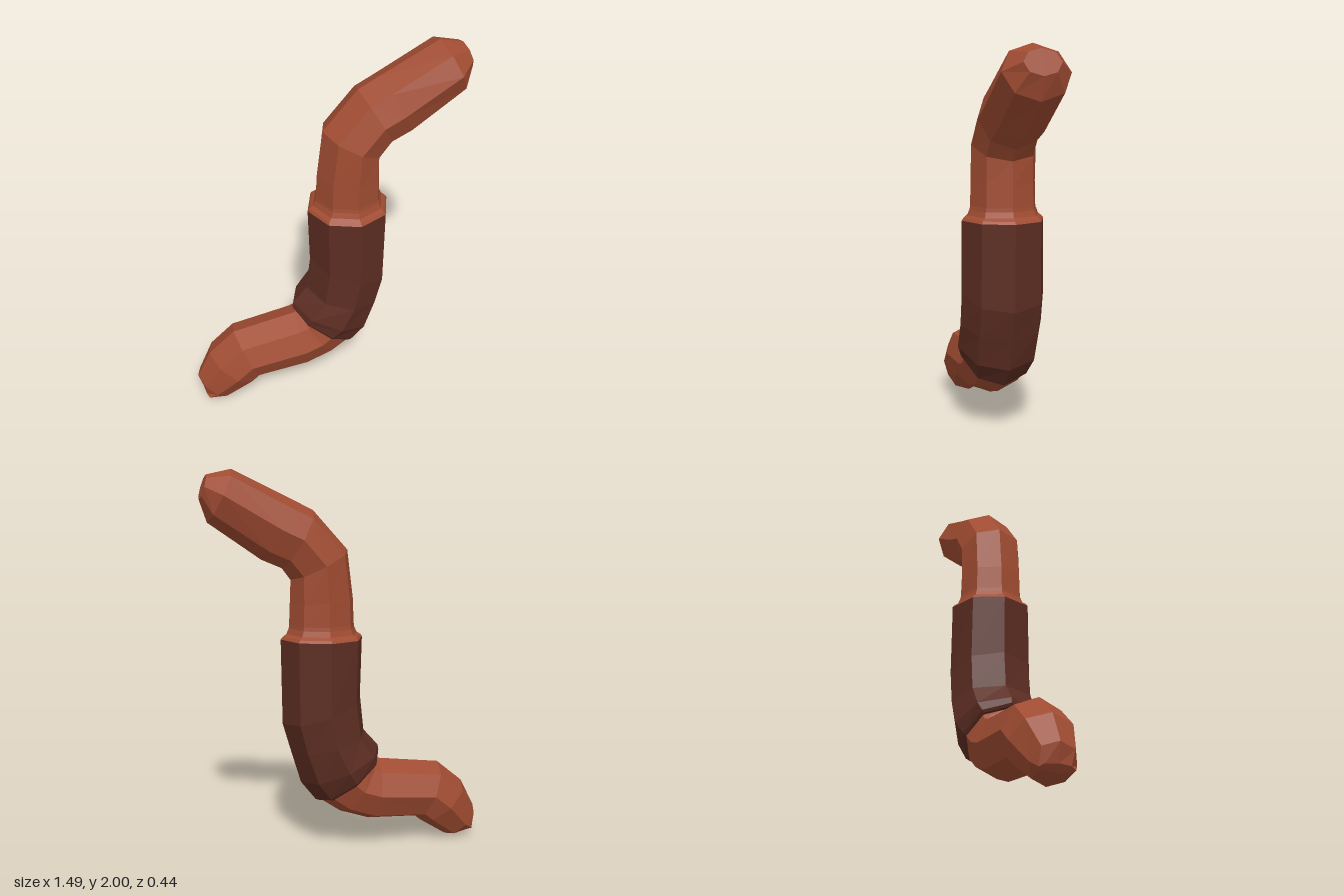
import * as THREE from 'three';

const SIDES = 8;

// Lofts octagonal rings. Each ring: [upper x, upper y, lower x, lower y, half depth]
function loft(name, rings, color) {
  const positions = [];
  const index = [];
  for (const [ax, ay, bx, by, depth] of rings) {
    const cx = (ax + bx) / 2, cy = (ay + by) / 2;
    for (let j = 0; j < SIDES; j++) {
      const t = (j / SIDES) * Math.PI * 2;
      positions.push(cx + (ax - cx) * Math.cos(t), cy + (ay - cy) * Math.cos(t), depth * Math.sin(t));
    }
  }
  for (let i = 0; i < rings.length - 1; i++) {
    for (let j = 0; j < SIDES; j++) {
      const k = (j + 1) % SIDES;
      const a = i * SIDES + j, b = i * SIDES + k;
      index.push(a, b, b + SIDES, a, b + SIDES, a + SIDES);
    }
  }
  // End caps
  const last = (rings.length - 1) * SIDES;
  for (let j = 1; j < SIDES - 1; j++) {
    index.push(0, j + 1, j);
    index.push(last, last + j, last + j + 1);
  }
  const geometry = new THREE.BufferGeometry();
  geometry.setAttribute('position', new THREE.Float32BufferAttribute(positions, 3));
  geometry.setIndex(index);
  geometry.computeVertexNormals();
  const mesh = new THREE.Mesh(geometry, new THREE.MeshStandardMaterial({ color, flatShading: true }));
  mesh.name = name;
  return mesh;
}

export function createModel() {
  const group = new THREE.Group();
  group.name = 'worm';

  // Body, from the tail tip up to the head
  group.add(loft('body', [
    [-0.72, 0.07, -0.69, 0.035, 0.085],
    [-0.745, 0.16, -0.58, 0.005, 0.11],
    [-0.67, 0.31, -0.43, 0.1, 0.16],
    [-0.525, 0.43, -0.4, 0.125, 0.162],
    [-0.18, 0.475, -0.13, 0.14, 0.168],
    [-0.155, 0.485, 0.03, 0.195, 0.17],
    [-0.145, 0.51, 0.13, 0.265, 0.175],
    [-0.06, 0.66, 0.26, 0.55, 0.175],
    [-0.04, 0.83, 0.3, 0.72, 0.175],
    [-0.05, 1.18, 0.305, 1.18, 0.18],
    [-0.045, 1.22, 0.3, 1.22, 0.173],
    [-0.04, 1.35, 0.295, 1.33, 0.17],
    [-0.01, 1.6, 0.29, 1.45, 0.17],
    [0.17, 1.8, 0.335, 1.51, 0.168],
    [0.27, 1.85, 0.44, 1.555, 0.167],
    [0.58, 2.0, 0.705, 1.74, 0.165],
    [0.705, 1.972, 0.742, 1.85, 0.09],
  ], 0xa04c32));

  // Thick dark saddle around the middle, its ends tucked in to the body
  group.add(loft('saddle', [
    [-0.14, 0.5, 0.12, 0.28, 0.165],
    [-0.178, 0.505, 0.145, 0.265, 0.178],
    [-0.185, 0.52, 0.165, 0.272, 0.19],
    [-0.18, 0.55, 0.245, 0.375, 0.218],
    [-0.1, 0.64, 0.297, 0.55, 0.22],
    [-0.08, 0.83, 0.34, 0.7, 0.22],
    [-0.09, 1.145, 0.345, 1.145, 0.218],
  ], 0x5c2d22));

  // Light lip stepping from the saddle in to the neck
  group.add(loft('saddleLip', [
    [-0.09, 1.145, 0.345, 1.145, 0.218],
    [-0.082, 1.158, 0.335, 1.158, 0.208],
    [-0.06, 1.172, 0.315, 1.172, 0.188],
    [-0.048, 1.2, 0.303, 1.2, 0.178],
  ], 0xa04c32));

  return group;
}
